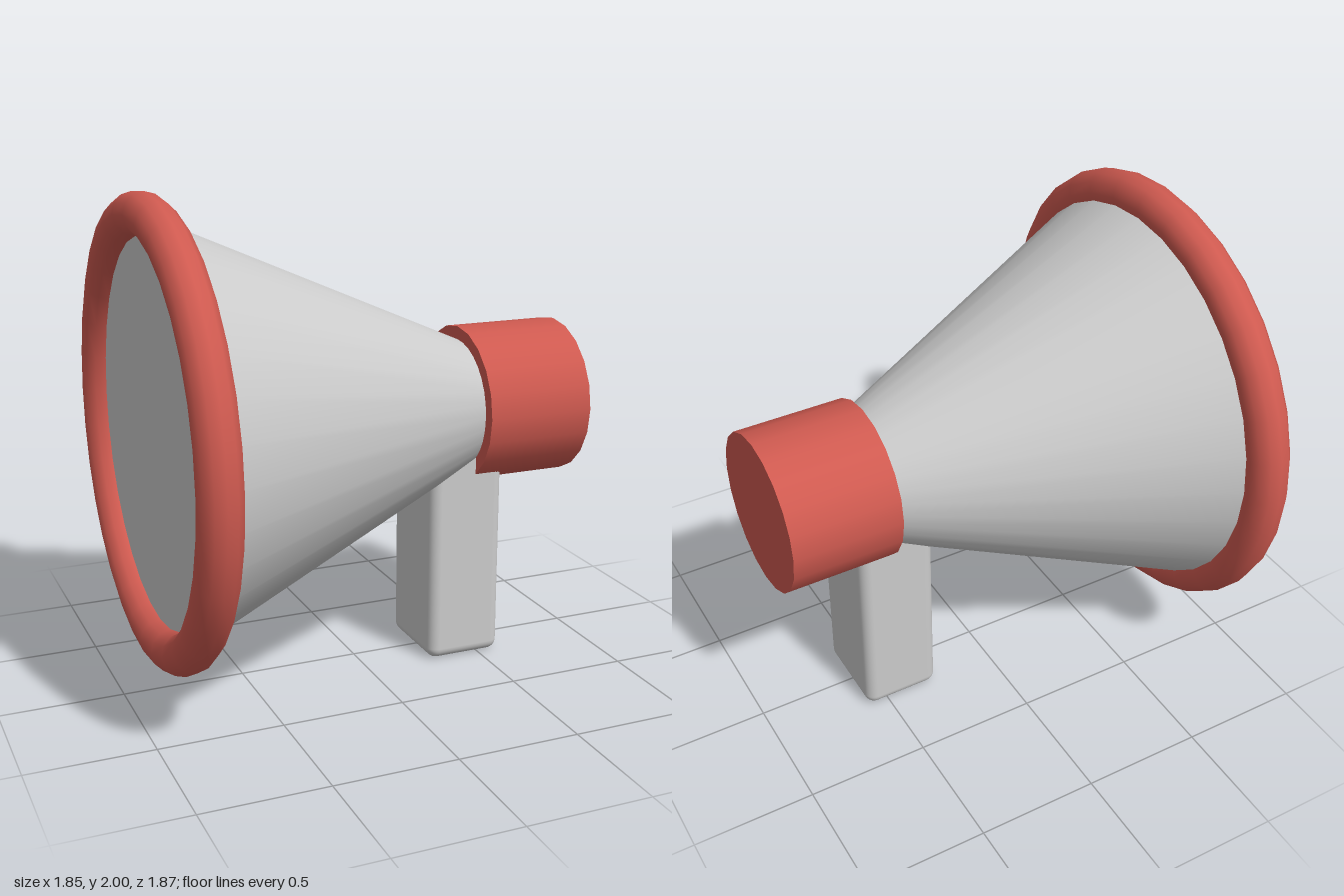
import * as THREE from 'three';
import { RoundedBoxGeometry } from 'three/addons/geometries/RoundedBoxGeometry.js';

const AXIS_Y = 1.065; // height of the horn's axis

export function createModel() {
  const group = new THREE.Group();
  const grey = new THREE.MeshStandardMaterial({ color: 0xcccccc });
  const red = new THREE.MeshStandardMaterial({ color: 0xcf5a50 });

  const add = (name, geometry, material, x, y) => {
    const mesh = new THREE.Mesh(geometry, material);
    mesh.name = name;
    mesh.position.set(x, y, 0);
    group.add(mesh);
    return mesh;
  };

  // Round part lying along x, from x0 to x1, with a radius at each end
  const barrel = (name, material, x0, x1, r0, r1, sides) => {
    const geometry = new THREE.CylinderGeometry(r0, r1, x1 - x0, sides);
    geometry.rotateY(Math.PI / 2).rotateZ(Math.PI / 2);
    return add(name, geometry, material, (x0 + x1) / 2, AXIS_Y);
  };

  // Flared horn, closed at the mouth, and the body behind it
  barrel('horn', grey, -0.84, 0.5, 0.85, 0.255, 32);
  barrel('rearBody', red, 0.465, 0.92, 0.325, 0.325, 20);

  // Thick ring around the mouth
  const rim = new THREE.TorusGeometry(0.85, 0.085, 12, 32);
  rim.rotateY(Math.PI / 2);
  add('mouthRim', rim, red, -0.84, AXIS_Y);

  // Rounded grip, its top buried in the horn and body
  const gripHeight = 0.95;
  add('grip', new RoundedBoxGeometry(0.325, gripHeight, 0.386, 4, 0.045), grey, 0.432, gripHeight / 2);

  return group;
}
